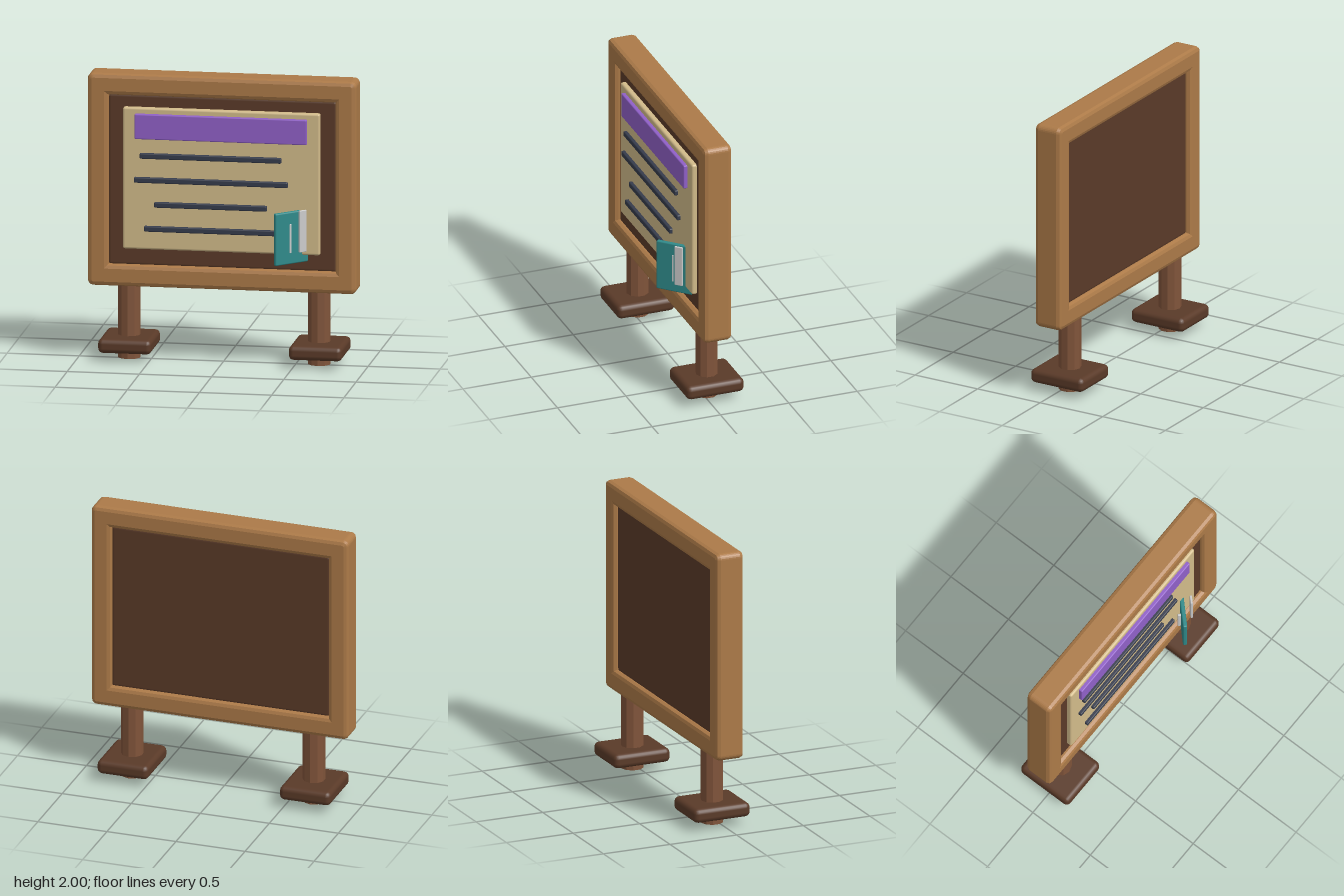
import * as THREE from 'three';
import { RoundedBoxGeometry } from 'three/addons/geometries/RoundedBoxGeometry.js';

const paint = (color, extra = {}) => new THREE.MeshStandardMaterial({ color, ...extra });
const mats = {
  frame: paint(0xac7a48),
  dark: paint(0x5a3a28),
  post: paint(0x80543a, { flatShading: true }),
  paper: paint(0xd2bb8a),
  header: paint(0x9060c8),
  ink: paint(0x363c4c),
  teal: paint(0x2f8a8a),
  grey: paint(0xcccccc),
};

export function createModel() {
  const group = new THREE.Group();

  const add = (name, geometry, material, x, y, z, rotY = 0) => {
    const mesh = new THREE.Mesh(geometry, material);
    mesh.name = name;
    mesh.position.set(x, y, z);
    mesh.rotation.y = rotY;
    group.add(mesh);
    return mesh;
  };

  // Bevelled box given by its limits on each axis
  const slab = (name, material, [x0, x1], [y0, y1], [z0, z1], radius) =>
    add(name, new RoundedBoxGeometry(x1 - x0, y1 - y0, z1 - z0, 2, radius), material,
      (x0 + x1) / 2, (y0 + y1) / 2, (z0 + z1) / 2);

  // Wooden frame: rounded rectangle with a bevelled opening
  const bevel = 0.03, r = 0.04, w = 0.93, bottom = 0.515, top = 2;
  const outline = new THREE.Shape();
  outline.moveTo(-w + r, bottom);
  outline.lineTo(w - r, bottom);
  outline.absarc(w - r, bottom + r, r, -Math.PI / 2, 0);
  outline.lineTo(w, top - r);
  outline.absarc(w - r, top - r, r, 0, Math.PI / 2);
  outline.lineTo(-w + r, top);
  outline.absarc(-w + r, top - r, r, Math.PI / 2, Math.PI);
  outline.lineTo(-w, bottom + r);
  outline.absarc(-w + r, bottom + r, r, Math.PI, Math.PI * 1.5);
  const opening = new THREE.Path();
  opening.moveTo(-0.785, 0.667);
  opening.lineTo(-0.785, 1.85);
  opening.lineTo(0.785, 1.85);
  opening.lineTo(0.785, 0.667);
  opening.closePath();
  outline.holes.push(opening);
  const frameGeometry = new THREE.ExtrudeGeometry(outline, {
    depth: 0.205 - 2 * bevel, bevelThickness: bevel, bevelSize: bevel,
    bevelOffset: -bevel, bevelSegments: 2, curveSegments: 3,
  });
  add('frame', frameGeometry, mats.frame, 0, 0, -0.115 + bevel);

  // Back panel and notice sheet
  slab('panel', mats.dark, [-0.8, 0.8], [0.65, 1.865], [-0.08, 0.05], 0.03);
  slab('noticeSheet', mats.paper, [-0.685, 0.68], [0.78, 1.77], [0.03, 0.086], 0.015);
  slab('headerBand', mats.header, [-0.6, 0.593], [1.555, 1.73], [0.07, 0.113], 0.008);

  // Dark bars on the sheet: left end, right end, height
  const bars = [[-0.565, 0.415, 1.437], [-0.605, 0.46, 1.268], [-0.465, 0.315, 1.098], [-0.535, 0.43, 0.928]];
  for (const [x0, x1, y] of bars) {
    slab('sheetBar', mats.ink, [x0, x1], [y - 0.019, y + 0.019], [0.07, 0.11], 0.008);
  }

  // Angled plate standing out of the sheet, with two grey strips
  add('anglePlate', new RoundedBoxGeometry(0.31, 0.365, 0.03, 2, 0.01), mats.teal, 0.5, 0.912, 0.12, Math.PI / 4);
  add('outerStrip', new RoundedBoxGeometry(0.06, 0.293, 0.016, 2, 0.005), mats.grey, 0.57, 0.961, 0.14, Math.PI / 4);
  add('innerStrip', new RoundedBoxGeometry(0.055, 0.205, 0.016, 2, 0.005), mats.grey, 0.471, 0.908, 0.135, -Math.PI / 4);

  // Posts and feet, mirrored
  for (const side of [-1, 1]) {
    add('post', new THREE.CylinderGeometry(0.078, 0.078, 0.6, 10), mats.post, side * 0.658, 0.3, -0.03);
    add('foot', new RoundedBoxGeometry(0.37, 0.1, 0.42, 2, 0.035), mats.dark, side * 0.66, 0.11, -0.03);
  }

  return group;
}
